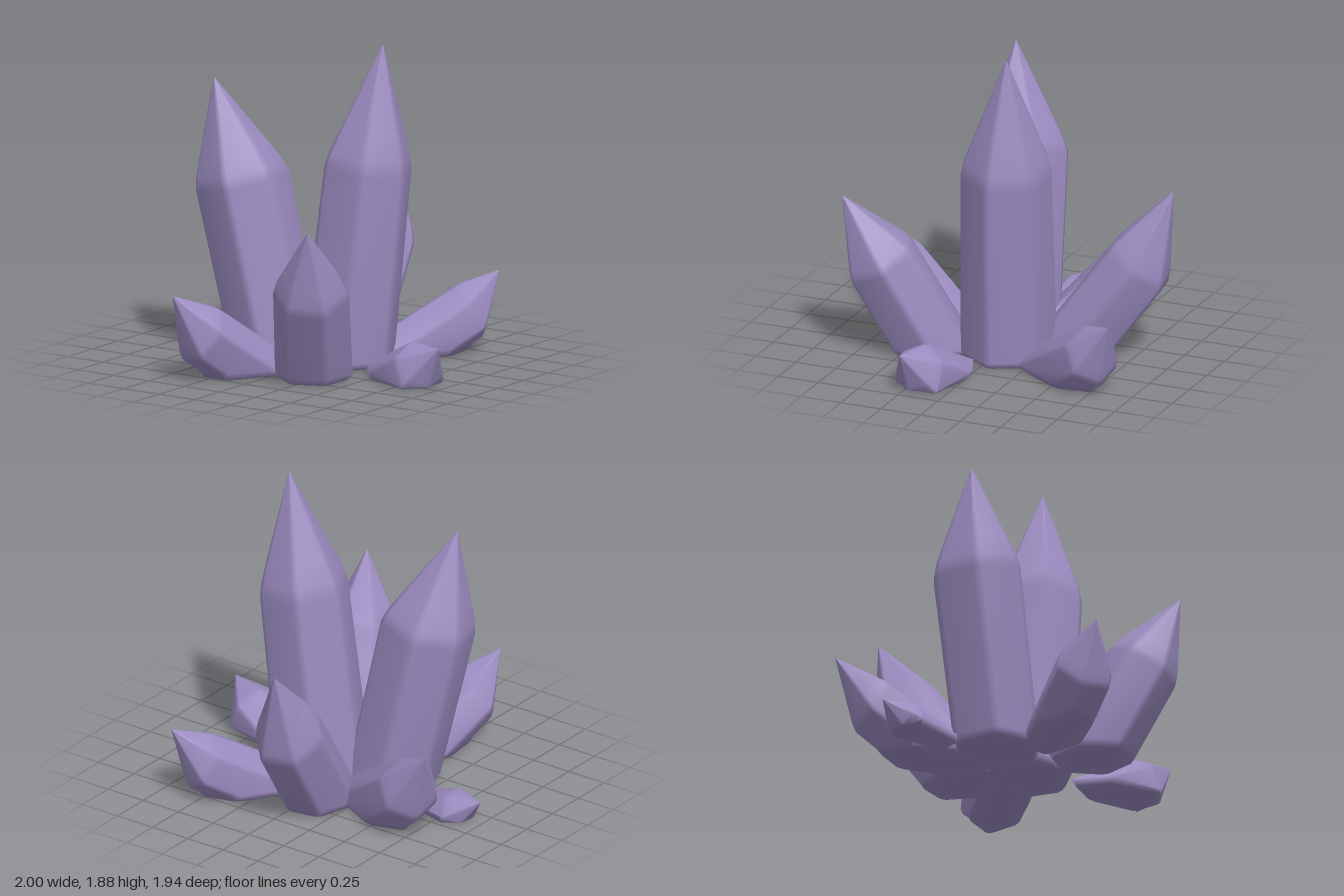
import * as THREE from 'three';

const SIDES = 6;
const BEVEL = 0.09; // half angle of the softened corner between two facets
const LIFT = 0.04; // height of the chamfer around the foot

// One six-sided crystal: leaning shaft, shoulder, pointed tip, cut off at the ground.
function crystalGeometry({ tip, shoulder, base, r, taper, roll }) {
  const T = new THREE.Vector3(...tip);
  const S = new THREE.Vector3(...shoulder);
  const B = new THREE.Vector3(...base);
  const axis = S.clone().sub(B).normalize();
  const u = new THREE.Vector3(0, 1, 0).cross(axis).normalize();
  const v = axis.clone().cross(u);

  // Each corner is a pair of points, giving a narrow bevel along the edge
  const angles = [];
  for (let i = 0; i < SIDES; i++) {
    const a = THREE.MathUtils.degToRad(roll) + (i / SIDES) * Math.PI * 2;
    angles.push(a - BEVEL, a + BEVEL);
  }
  const n = angles.length;
  const ring = (center, radius) => angles.map((a) => center.clone()
    .addScaledVector(u, Math.cos(a) * radius)
    .addScaledVector(v, Math.sin(a) * radius));

  const top = ring(S, r);
  const low = ring(B, r * taper);
  // Run every shaft edge down to just above the ground
  const foot = top.map((p, i) => {
    const drop = p.y - low[i].y;
    const t = THREE.MathUtils.clamp(drop > 0.001 ? (p.y - LIFT) / drop : 1, 0, 1.6);
    return p.clone().lerp(low[i], t);
  });
  // Chamfered sole
  const middle = foot.reduce((s, p) => s.add(p), new THREE.Vector3()).divideScalar(n).setY(0);
  const sole = foot.map((p) => p.clone().lerp(middle, 0.1).setY(0));
  const rings = [
    sole,
    foot,
    top,
    ring(S.clone().lerp(T, 0.12), r * 0.93),
    ring(S.clone().lerp(T, 0.3), r * 0.75),
    ring(T, r * 0.015),
  ];

  const pos = [];
  const index = [];
  const push = (p) => pos.push(p.x, Math.max(p.y, 0), p.z);
  rings.forEach((points) => points.forEach(push));
  for (let k = 0; k < rings.length - 1; k++) {
    for (let j = 0; j < n; j++) {
      const a = k * n + j;
      const b = k * n + ((j + 1) % n);
      index.push(a, b, b + n, a, b + n, a + n);
    }
  }
  // Underside
  const center = pos.length / 3;
  push(middle);
  for (let j = 0; j < n; j++) index.push(center, (j + 1) % n, j);

  const geometry = new THREE.BufferGeometry();
  geometry.setAttribute('position', new THREE.Float32BufferAttribute(pos, 3));
  geometry.setIndex(index);
  geometry.computeVertexNormals();
  return geometry;
}

const CRYSTALS = [
  { name: 'tallCrystal', tip: [0.34, 1.88, -0.14], shoulder: [0.26, 1.15, -0.105], base: [0.14, 0, -0.07], r: 0.262, taper: 1.06, roll: 10 },
  { name: 'secondCrystal', tip: [-0.6, 1.63, 0.21], shoulder: [-0.46, 1.02, 0.12], base: [-0.24, 0, 0.065], r: 0.275, taper: 0.96, roll: 0 },
  { name: 'backCrystal', tip: [-0.16, 1.03, -0.97], shoulder: [-0.125, 0.56, -0.765], base: [-0.055, 0, -0.36], r: 0.212, taper: 1, roll: 0 },
  { name: 'frontLeftCrystal', tip: [0.49, 0.96, 0.82], shoulder: [0.375, 0.55, 0.62], base: [0.21, 0, 0.36], r: 0.22, taper: 1.02, roll: -8 },
  { name: 'frontRightCrystal', tip: [-0.35, 0.51, 0.97], shoulder: [-0.27, 0.26, 0.79], base: [-0.145, 0, 0.43], r: 0.18, taper: 1, roll: 10 },
  { name: 'backRightCrystal', tip: [-0.93, 0.57, -0.56], shoulder: [-0.73, 0.28, -0.45], base: [-0.36, 0, -0.245], r: 0.185, taper: 1.1, roll: 30 },
  { name: 'backLeftCrystal', tip: [0.62, 0.45, -0.9], shoulder: [0.51, 0.22, -0.745], base: [0.27, -0.02, -0.39], r: 0.172, taper: 1.05, roll: 30 },
  { name: 'lowRightCrystal', tip: [-1, 0.14, -0.11], shoulder: [-0.82, 0.03, -0.1], base: [-0.45, -0.1, -0.07], r: 0.135, taper: 1.05, roll: 0 },
  { name: 'lowLeftCrystal', tip: [1, 0.24, 0.24], shoulder: [0.82, 0.08, 0.19], base: [0.45, -0.1, 0.075], r: 0.172, taper: 0.9, roll: 30 },
];

export function createModel() {
  const model = new THREE.Group();
  model.name = 'crystalCluster';
  const amethyst = new THREE.MeshStandardMaterial({ color: 0x9a8bbf });
  amethyst.name = 'amethyst';
  for (const spec of CRYSTALS) {
    const mesh = new THREE.Mesh(crystalGeometry(spec), amethyst);
    mesh.name = spec.name;
    model.add(mesh);
  }
  return model;
}
